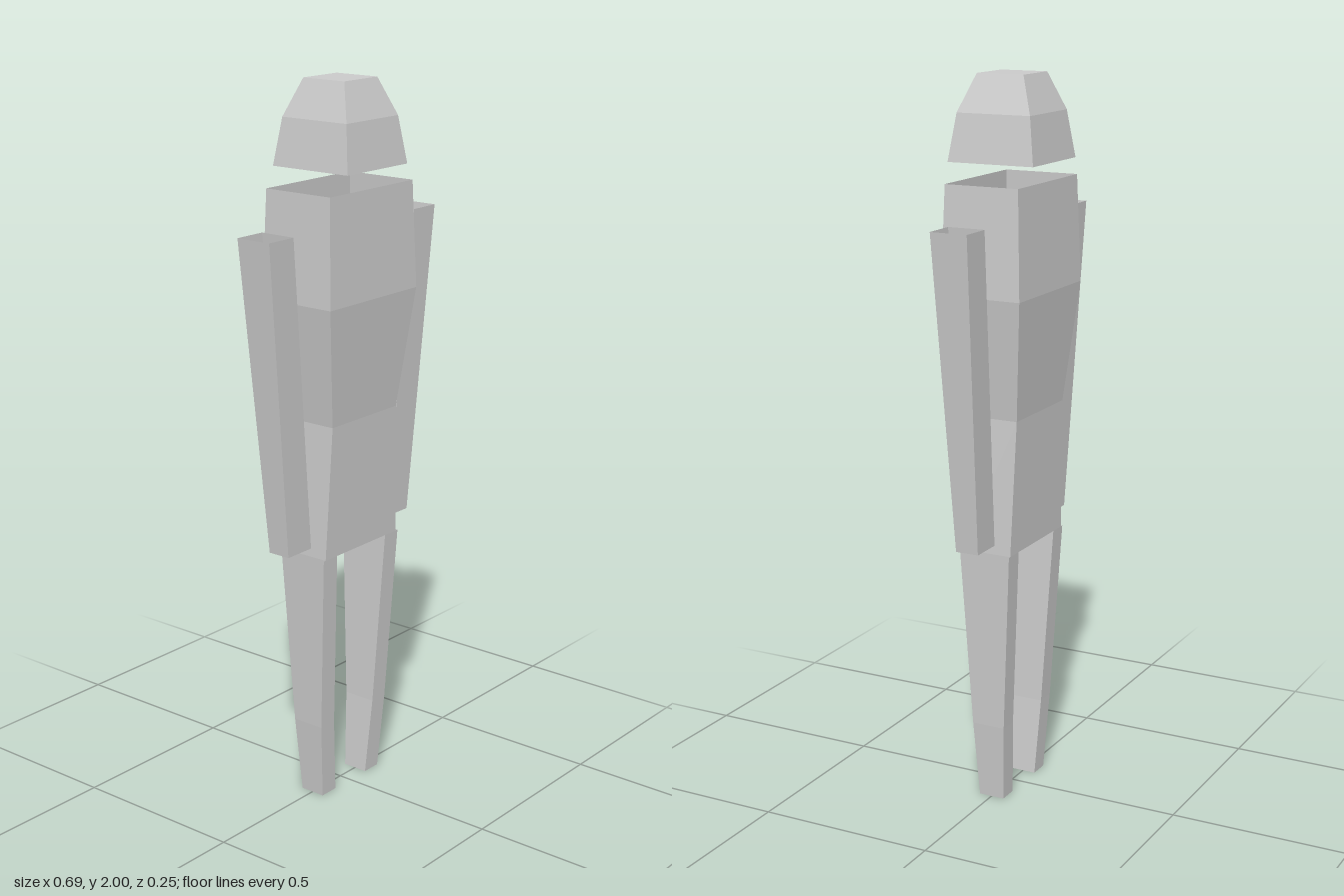
import * as THREE from 'three';

const material = new THREE.MeshStandardMaterial({
  color: 0xcccccc, flatShading: true, side: THREE.DoubleSide,
});

// Four-sided sleeve through rings [y, xMin, xMax, zHalf], listed from bottom to top
function sleeve(name, rings, capTop = false) {
  const positions = [];
  const index = [];
  for (const [y, x0, x1, z] of rings) {
    positions.push(x0, y, z, x1, y, z, x1, y, -z, x0, y, -z);
  }
  for (let r = 0; r < rings.length - 1; r++) {
    for (let i = 0; i < 4; i++) {
      const a = r * 4 + i;
      const b = r * 4 + (i + 1) % 4;
      index.push(a, b, b + 4, a, b + 4, a + 4);
    }
  }
  if (capTop) {
    const t = (rings.length - 1) * 4;
    index.push(t, t + 1, t + 2, t, t + 2, t + 3);
  }
  const indexed = new THREE.BufferGeometry();
  indexed.setAttribute('position', new THREE.Float32BufferAttribute(positions, 3));
  indexed.setIndex(index);
  const geometry = indexed.toNonIndexed();
  geometry.computeVertexNormals();
  const mesh = new THREE.Mesh(geometry, material);
  mesh.name = name;
  return mesh;
}

// Rings for the right side are those of the left, mirrored in x
const mirror = (rings) => rings.map(([y, x0, x1, z]) => [y, -x1, -x0, z]);
const centred = (rings) => rings.map(([y, x, z]) => [y, -x, x, z]);

export function createModel() {
  const model = new THREE.Group();
  model.name = 'figure';

  // Head: closed on top, open below
  model.add(sleeve('head', centred([
    [1.773, 0.125, 0.125],
    [1.9, 0.107, 0.107],
    [2.0, 0.068, 0.068],
  ]), true));

  // Torso: open at neck and hips
  model.add(sleeve('torso', centred([
    [0.728, 0.155, 0.075],
    [1.1, 0.137, 0.085],
    [1.43, 0.183, 0.116],
    [1.722, 0.173, 0.107],
  ])));

  // Arms and legs: open tubes
  const arm = [
    [0.757, 0.166, 0.26, 0.033],
    [1.625, 0.253, 0.347, 0.053],
  ];
  const leg = [
    [0, 0.068, 0.125, 0.037],
    [0.22, 0.087, 0.143, 0.048],
    [0.728, 0.106, 0.163, 0.075],
  ];
  model.add(sleeve('leftArm', arm), sleeve('rightArm', mirror(arm)));
  model.add(sleeve('leftLeg', leg), sleeve('rightLeg', mirror(leg)));

  return model;
}
